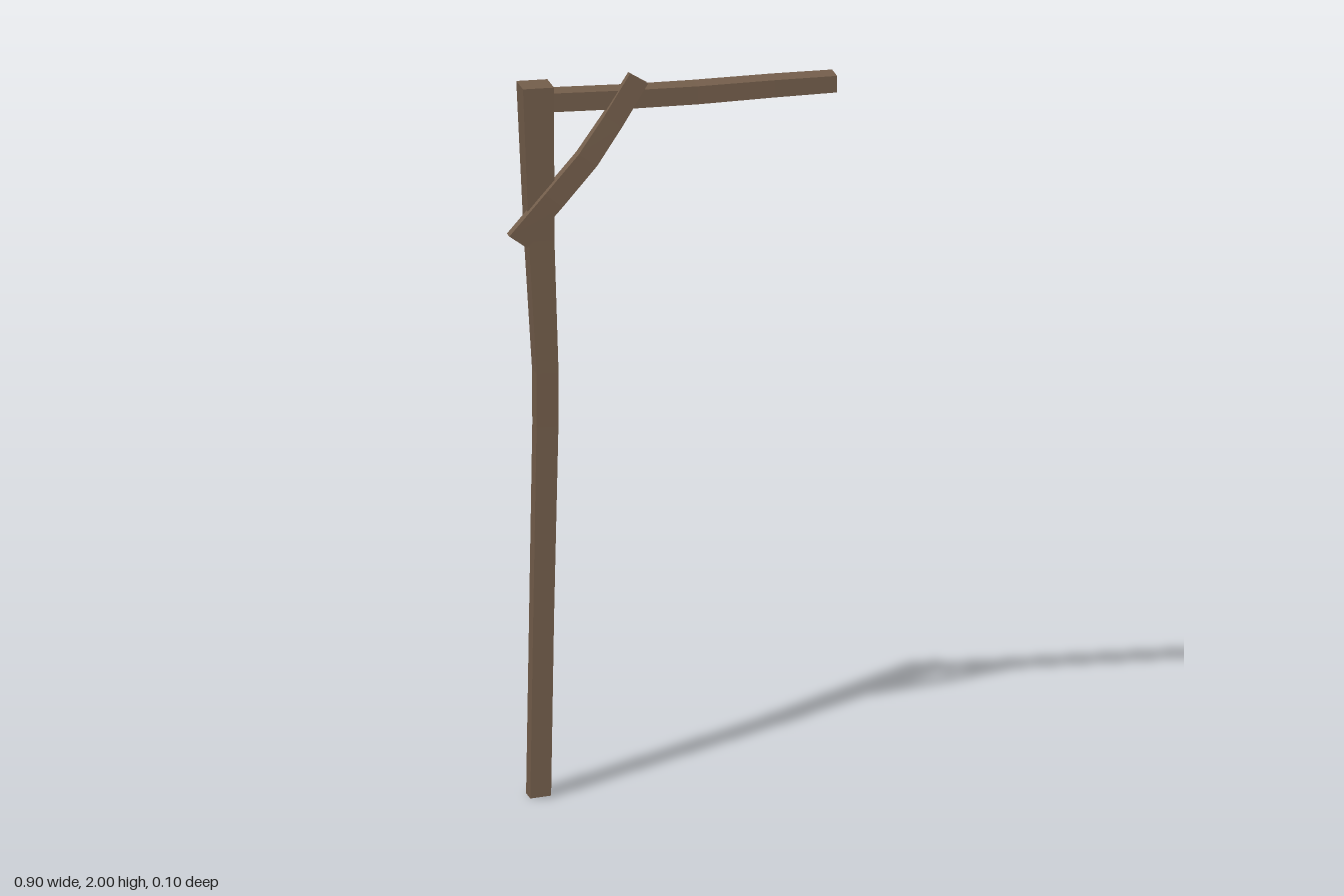
import * as THREE from 'three';

const wood = new THREE.MeshStandardMaterial({ color: 0x755f4c, flatShading: true });

// Rough timber: four-cornered sections [px, py, qx, qy, zBack, zFront],
// where p and q are the two edges seen from the front, left and right of travel.
function timber(name, sections) {
  const pos = [], index = [];
  for (const [px, py, qx, qy, z0, z1] of sections) {
    pos.push(px, py, z1, qx, qy, z1, qx, qy, z0, px, py, z0);
  }
  const quad = (a, b, c, d) => index.push(a, b, c, a, c, d);
  const last = (sections.length - 1) * 4;
  for (let s = 0; s < last; s += 4) {
    for (let k = 0; k < 4; k++) {
      const n = (k + 1) % 4;
      quad(s + k, s + n, s + 4 + n, s + 4 + k);
    }
  }
  quad(3, 2, 1, 0);
  quad(last, last + 1, last + 2, last + 3);
  const indexed = new THREE.BufferGeometry();
  indexed.setAttribute('position', new THREE.Float32BufferAttribute(pos, 3));
  indexed.setIndex(index);
  const geometry = indexed.toNonIndexed();
  geometry.computeVertexNormals();
  const mesh = new THREE.Mesh(geometry, wood);
  mesh.name = name;
  return mesh;
}

export function createModel() {
  const group = new THREE.Group();
  group.name = 'hangingPost';

  // Upright, slightly bowed and thicker at the head
  group.add(timber('post', [
    [-0.39, 0, -0.333, 0.005, -0.032, 0.022],
    [-0.382, 0.5, -0.325, 0.5, -0.031, 0.022],
    [-0.373, 1.03, -0.313, 1.03, -0.032, 0.022],
    [-0.373, 1.18, -0.313, 1.18, -0.036, 0.024],
    [-0.395, 1.55, -0.325, 1.55, -0.039, 0.027],
    [-0.413, 1.977, -0.328, 1.977, -0.05, 0.036],
  ]));

  // Horizontal arm, sagging a little
  group.add(timber('arm', [
    [-0.35, 1.957, -0.35, 1.905, -0.042, 0.022],
    [-0.1, 1.953, -0.1, 1.902, -0.042, 0.022],
    [0.07, 1.953, 0.07, 1.903, -0.046, 0.021],
    [0.28, 1.958, 0.28, 1.91, -0.045, 0.022],
    [0.45, 1.96, 0.45, 1.914, -0.043, 0.022],
  ]));

  // Diagonal brace fixed across the front
  group.add(timber('brace', [
    [-0.452, 1.572, -0.403, 1.537, 0.012, 0.043],
    [-0.355, 1.685, -0.307, 1.647, 0.016, 0.049],
    [-0.262, 1.79, -0.212, 1.755, 0.014, 0.046],
    [-0.19, 1.89, -0.141, 1.857, 0.01, 0.036],
    [-0.119, 2, -0.069, 1.97, 0.007, 0.028],
  ]));

  return group;
}
